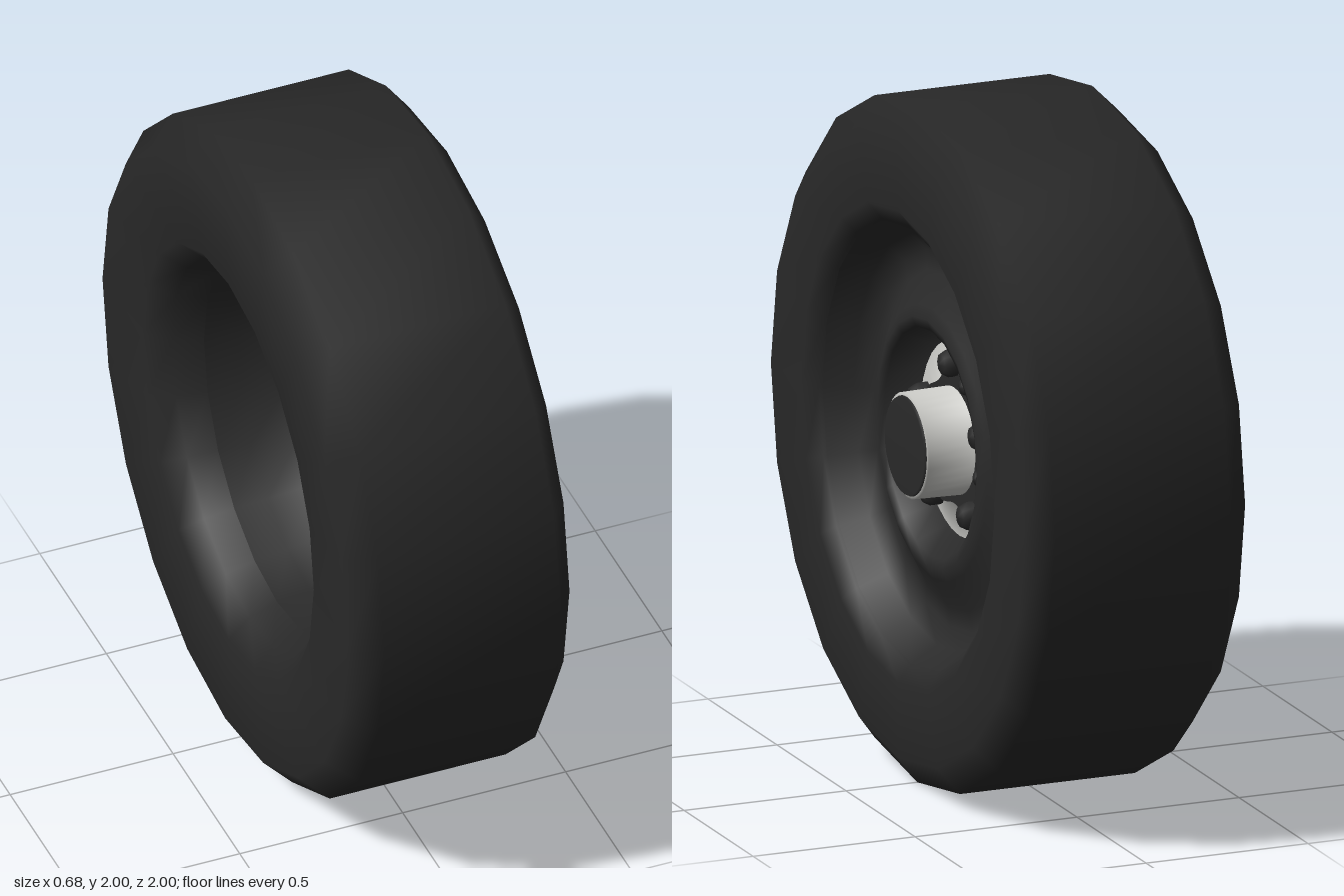
import * as THREE from 'three';

const rubber = new THREE.MeshStandardMaterial({ color: 0x282828 });
rubber.name = 'dark rubber';
const darkSteel = new THREE.MeshStandardMaterial({ color: 0x292929, side: THREE.DoubleSide });
darkSteel.name = 'dark steel';
const paleMetal = new THREE.MeshStandardMaterial({ color: 0xcacac6 });
paleMetal.name = 'pale metal';

export function createModel() {
  const wheel = new THREE.Group();
  wheel.name = 'wheel';

  const add = (name, geometry, material) => {
    const mesh = new THREE.Mesh(geometry, material);
    mesh.name = name;
    wheel.add(mesh);
    return mesh;
  };
  // Revolve [radius, x] pairs about the x axis
  const revolve = (pairs, sides) =>
    new THREE.LatheGeometry(pairs.map(([r, x]) => new THREE.Vector2(r, x)), sides).rotateZ(-Math.PI / 2);

  // Tyre: back bead, sidewall, chamfered tread, front sidewall and bead
  add('tyre', revolve([
    [0.55, -0.18], [0.58, -0.265], [0.64, -0.33], [0.92, -0.34], [1, -0.26],
    [1, 0.28], [0.92, 0.34], [0.7, 0.34], [0.652, 0.305], [0.63, 0.26],
  ], 20), rubber);

  // Rim front: dish, raised ring and recess around the hub
  add('rimFront', revolve([
    [0.65, 0.3], [0.6, 0.22], [0.55, 0.18], [0.49, 0.185], [0.4, 0.235],
    [0.365, 0.25], [0.335, 0.24], [0.287, 0.145], [0.15, 0.14],
  ], 20), darkSteel);

  // Rim back: hollow hub tube, bowl and barrel
  add('rimBarrel', revolve([
    [0, 0.13], [0.16, 0.12], [0.175, 0.01], [0.19, 0], [0.21, 0.02],
    [0.26, 0.1], [0.34, 0.15], [0.44, 0.13], [0.5, 0.06], [0.535, -0.08], [0.551, -0.18],
  ], 20), darkSteel);

  // Hub: shallow cone flowing smoothly into the barrel, closed by a cap
  add('hub', revolve([
    [0.287, 0.142], [0.285, 0.15], [0.157, 0.165], [0.154, 0.31], [0.14, 0.314], [0, 0.314],
  ], 32), paleMetal);
  add('hubCap', revolve([[0.146, 0.311], [0.142, 0.32], [0, 0.321]], 32), darkSteel);

  // Star-shaped flange with a lobe under each large nut
  const star = new THREE.Shape();
  for (let i = 0; i <= 60; i++) {
    const a = (i / 60) * Math.PI * 2;
    const r = 0.208 + 0.022 * Math.cos(5 * (a - Math.PI / 2));
    star[i ? 'lineTo' : 'moveTo'](r * Math.cos(a), r * Math.sin(a));
  }
  const flange = new THREE.ExtrudeGeometry(star, { depth: 0.009, bevelEnabled: false });
  add('hubFlange', flange.rotateY(Math.PI / 2).translate(0.158, 0, 0), darkSteel);

  // Domed nuts; angle is measured from straight up towards +z
  const nut = (name, degrees, distance, r, height) => {
    const geometry = revolve([
      [r, 0], [r, height * 0.55], [r * 0.7, height * 0.9], [0, height],
    ], 8);
    const a = THREE.MathUtils.degToRad(degrees);
    add(name, geometry, darkSteel).position.set(0.148, distance * Math.cos(a), distance * Math.sin(a));
  };
  for (let i = 0; i < 5; i++) nut('wheelNut', i * 72, 0.23, 0.042, 0.065);
  for (const angle of [-31, 112, -104]) nut('smallStud', angle, 0.222, 0.028, 0.05);

  // Stand the tyre on the ground
  wheel.children.forEach((part) => { part.position.y += 1; });
  return wheel;
}
